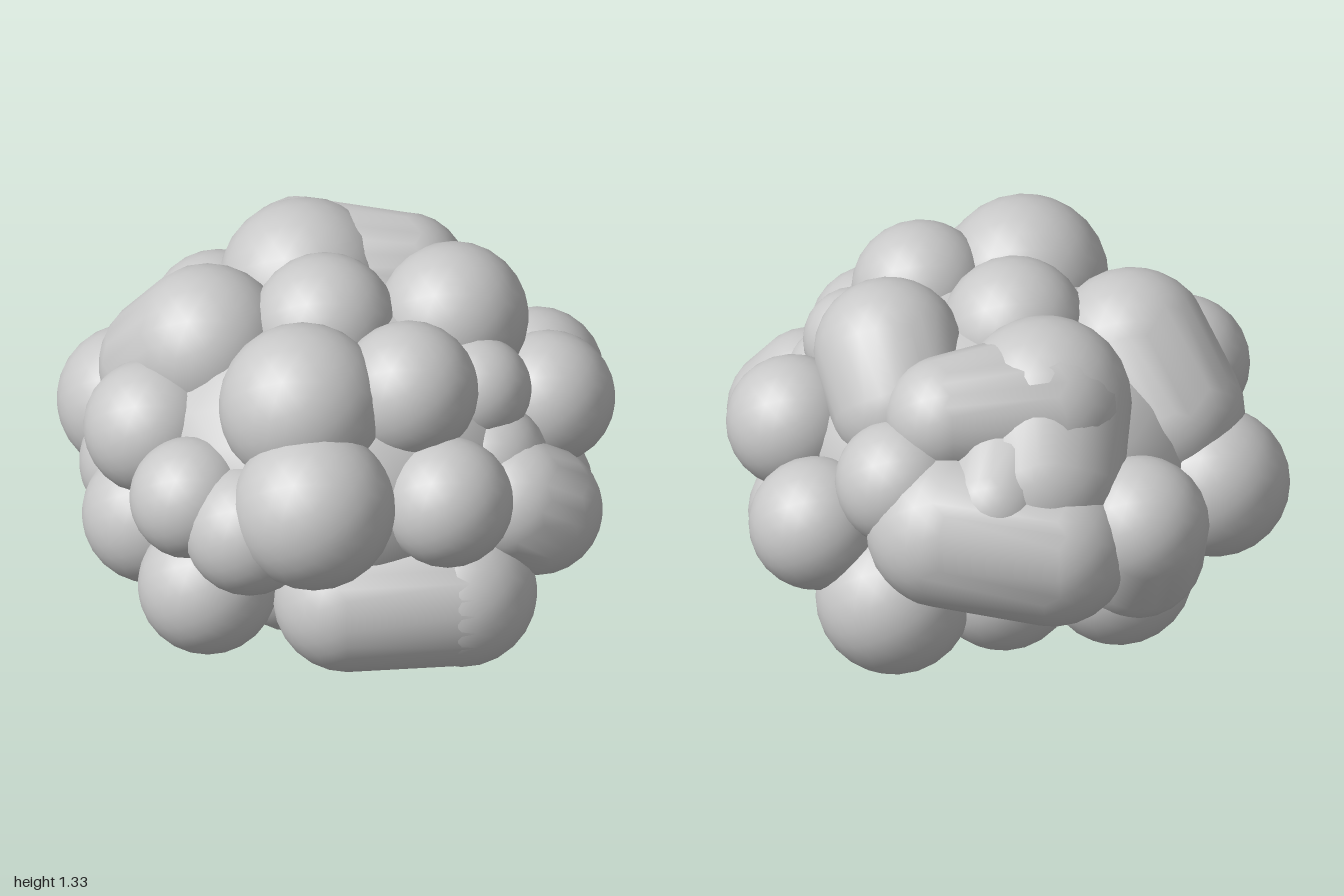
import * as THREE from 'three';

// Single puffs: [x, y, z, radius]
const PUFFS = {
  topPuff: [
    [-0.12, 1.02, 0.42, 0.3], [0.26, 1.04, 0.35, 0.25], [-0.04, 1.08, 0, 0.26],
    [0.51, 0.94, 0.2, 0.19],
  ],
  frontPuff: [
    [-0.08, 0.775, 0.71, 0.292], [-0.31, 0.64, 0.65, 0.235], [-0.46, 0.33, 0.55, 0.25],
    [-0.52, 0.69, 0.52, 0.22], [0.4, 0.72, 0.59, 0.235], [0.55, 0.7, 0.3, 0.21],
  ],
  leftPuff: [
    [0.76, 0.75, -0.02, 0.24], [0.68, 0.36, -0.02, 0.24], [0.72, 0.57, -0.42, 0.24],
    [0.43, 0.79, -0.52, 0.23],
  ],
  rightPuff: [
    [-0.66, 0.77, 0.19, 0.245], [-0.66, 0.41, 0.22, 0.25], [-0.73, 0.56, -0.28, 0.27],
    [-0.68, 0.47, -0.02, 0.24],
  ],
  lowPuff: [
    [0.45, 0.31, -0.53, 0.28], [-0.39, 0.265, -0.05, 0.26], [0.05, 0.31, -0.45, 0.26],
    [-0.36, 0.35, -0.5, 0.27], [0.26, 0.3, 0, 0.24], [-0.15, 0.29, 0.35, 0.25],
  ],
};

// Stretched puffs: [name, start x y z r, end x y z r]
const LONG_PUFFS = [
  ['lowFrontLongPuff', [0.04, 0.3, 0.59, 0.265], [0.45, 0.3, 0.55, 0.27]],
  ['lowFrontSidePuff', [0.45, 0.3, 0.55, 0.27], [0.43, 0.31, 0.42, 0.26]],
  ['leftFrontPuff', [0.72, 0.54, 0.38, 0.235], [0.65, 0.6, 0.41, 0.225]],
  ['topLeftLongPuff', [0.42, 1.06, -0.08, 0.27], [0.4, 0.94, -0.22, 0.25]],
  ['topRightLongPuff', [-0.46, 0.98, -0.02, 0.29], [-0.58, 0.79, -0.16, 0.27]],
  ['topBackLongPuff', [-0.11, 1.0, -0.37, 0.31], [-0.08, 0.8, -0.55, 0.3]],
  ['topBackWidePuff', [-0.1, 1.0, -0.42, 0.29], [0.25, 1.0, -0.43, 0.22]],
  ['topBackSidePuff', [0, 0.88, -0.5, 0.28], [0.1, 0.78, -0.69, 0.19]],
  ['backLongPuff', [-0.1, 0.6, -0.72, 0.28], [0.27, 0.66, -0.64, 0.29]],
  ['backRightPuff', [-0.42, 0.64, -0.66, 0.25], [-0.41, 0.5, -0.6, 0.25]],
];

// Sphere whose halves are pulled apart to two centres
function puffGeometry(a, b = a) {
  const geo = new THREE.IcosahedronGeometry(1, 4);
  const pos = geo.attributes.position;
  const start = new THREE.Vector3(...a.slice(0, 3));
  const end = new THREE.Vector3(...b.slice(0, 3));
  const axis = end.clone().sub(start);
  const v = new THREE.Vector3();
  for (let i = 0; i < pos.count; i++) {
    v.fromBufferAttribute(pos, i);
    const atEnd = v.dot(axis) > 1e-6;
    v.multiplyScalar((atEnd ? b[3] : a[3]) * 1.005).add(atEnd ? end : start);
    pos.setXYZ(i, v.x, v.y, v.z);
  }
  return geo;
}

export function createModel() {
  const group = new THREE.Group();
  group.name = 'cloud';
  const cloudGrey = new THREE.MeshStandardMaterial({ color: 0xc8c8c8 });
  cloudGrey.name = 'cloudGrey';

  const add = (name, geo) => {
    const mesh = new THREE.Mesh(geo, cloudGrey);
    mesh.name = name;
    group.add(mesh);
    return mesh;
  };

  // Filled middle
  const core = add('core', new THREE.IcosahedronGeometry(1, 4));
  core.scale.set(0.75, 0.53, 0.75);
  core.position.y = 0.65;

  // Round puffs
  for (const [name, list] of Object.entries(PUFFS)) {
    list.forEach((p, i) => add(name + (i + 1), puffGeometry(p)));
  }

  // Merged pairs of puffs
  for (const [name, a, b] of LONG_PUFFS) add(name, puffGeometry(a, b));

  return group;
}
